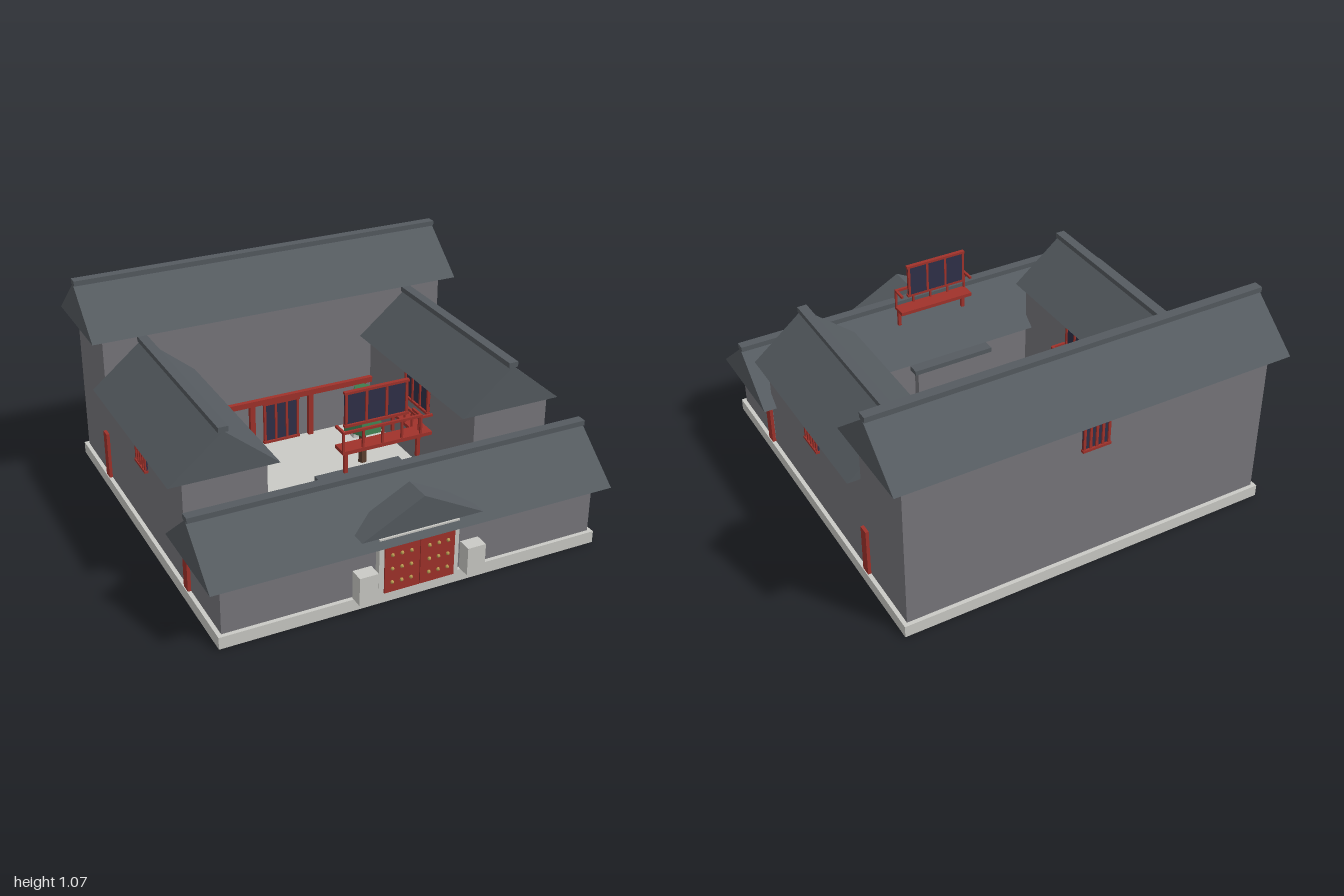
import * as THREE from 'three';

const mat = (name, color) => Object.assign(new THREE.MeshStandardMaterial({ color, flatShading: true }), { name });

export function createModel() {
  const root = new THREE.Group();
  const wall = mat('wall grey', 0x77767b), roof = mat('roof slate', 0x555b60);
  const stone = mat('pale stone', 0xcacac5), red = mat('painted red', 0xa0322b);
  const glass = mat('dark blue pane', 0x2f3048), gold = mat('brass', 0xb89a50);
  const green = mat('leaf green', 0x3f7d4f), brown = mat('trunk brown', 0x5c4030);

  // box given by its limits on each axis
  const box = (parent, name, m, x0, x1, y0, y1, z0, z1) => {
    const mesh = new THREE.Mesh(new THREE.BoxGeometry(x1 - x0, y1 - y0, z1 - z0), m);
    mesh.position.set((x0 + x1) / 2, (y0 + y1) / 2, (z0 + z1) / 2);
    mesh.name = name;
    parent.add(mesh);
    return mesh;
  };

  // triangular prism with its ridge along z
  const prism = (parent, name, half, height, length) => {
    const s = new THREE.Shape([new THREE.Vector2(-half, 0), new THREE.Vector2(half, 0), new THREE.Vector2(0, height)]);
    const g = new THREE.ExtrudeGeometry(s, { depth: length, bevelEnabled: false });
    g.translate(0, 0, -length / 2);
    const mesh = new THREE.Mesh(g, roof);
    mesh.name = name;
    parent.add(mesh);
    return mesh;
  };

  // gable roof with a ridge cap
  const gable = (name, x, y, z, length, turned) => {
    const g = new THREE.Group();
    g.name = name;
    prism(g, 'roofSlopes', 0.264, 0.218, length);
    box(g, 'ridgeCap', roof, -0.024, 0.024, 0.212, 0.238, -length / 2, length / 2);
    g.position.set(x, y, z);
    if (turned) g.rotation.y = Math.PI / 2;
    root.add(g);
  };

  // barred window facing +z, standing on its own origin
  const barredWindow = (name, w, h, bars) => {
    const g = new THREE.Group(), r = w / 2;
    g.name = name;
    box(g, 'pane', glass, -r, r, 0.005, h - 0.005, 0.001, 0.009);
    for (let i = 0; i < bars; i++) {
      const x = -r + 0.006 + (i / (bars - 1)) * (w - 0.012);
      box(g, 'bar', red, x - 0.006, x + 0.006, 0, h, 0, 0.016);
    }
    for (const y of [0, h - 0.012]) box(g, 'crossRail', red, -r - 0.004, r + 0.004, y, y + 0.012, 0, 0.02);
    return g;
  };

  // balcony with a window behind it; origin at the floor's back edge
  const balcony = (name, w) => {
    const g = new THREE.Group(), r = w / 2;
    g.name = name;
    box(g, 'balconyFloor', red, -r, r, 0, 0.018, 0, 0.08);
    box(g, 'frontRail', red, -r, r, 0.103, 0.115, 0.068, 0.08);
    for (const s of [-1, 1]) {
      const x = s * (r - 0.006), b = s * (r - 0.017);
      box(g, 'sideRail', red, x - 0.006, x + 0.006, 0.103, 0.115, 0, 0.08);
      box(g, 'bracket', red, b - 0.008, b + 0.008, -0.095, 0, 0.062, 0.078);
    }
    for (let i = 0; i < 5; i++) {
      const x = -r + 0.005 + (i / 4) * (w - 0.01);
      box(g, 'railPost', red, x - 0.005, x + 0.005, 0.015, 0.105, 0.069, 0.079);
    }
    const win = barredWindow('balconyWindow', w * 0.79, 0.175, 4);
    win.position.y = 0.1;
    g.add(win);
    return g;
  };

  const place = (g, x, y, z, turn = 0) => {
    g.position.set(x, y, z);
    g.rotation.y = turn;
    root.add(g);
  };

  // stone base and courtyard floor
  box(root, 'base', stone, -0.95, 0.95, 0, 0.06, -0.95, 0.945);

  // four wings around the court
  box(root, 'rearHall', wall, -0.93, 0.93, 0.06, 0.828, -0.93, -0.53);
  gable('rearRoof', 0, 0.828, -0.735, 1.99, true);
  box(root, 'frontHall', wall, -0.93, 0.93, 0.06, 0.308, 0.525, 0.925);
  gable('frontRoof', 0, 0.308, 0.722, 1.99, true);
  for (const s of [-1, 1]) {
    const a = s * 0.53, b = s * 0.93;
    box(root, 'sideHall', wall, Math.min(a, b), Math.max(a, b), 0.06, 0.567, -0.53, 0.52);
    gable('sideRoof', s * 0.73, 0.567, -0.005, 1.05, false);
    for (const z of [-0.555, 0.55])
      box(root, 'outerPost', red, s * 0.937 - 0.009, s * 0.937 + 0.009, 0.06, 0.306, z - 0.025, z + 0.025);
    place(barredWindow('sideWindow', 0.137, 0.14, 5), s * 0.929, 0.395, -0.003, s * Math.PI / 2);
    place(balcony('sideBalcony', 0.3), s * 0.53, 0.286, -0.01, -s * Math.PI / 2);
  }
  place(barredWindow('rearWindow', 0.137, 0.14, 5), 0, 0.655, -0.929, Math.PI);
  place(balcony('frontBalcony', 0.4), 0, 0.575, 0.522);

  // rear hall veranda: beam, posts and centre door
  box(root, 'verandaBeam', red, -0.53, 0.53, 0.295, 0.325, -0.53, -0.505);
  for (const x of [-0.48, -0.167, 0.167, 0.48])
    box(root, 'verandaPost', red, x - 0.014, x + 0.014, 0.06, 0.3, -0.53, -0.505);
  const rearDoor = barredWindow('rearDoor', 0.2, 0.235, 4);
  place(rearDoor, 0, 0.06, -0.531);

  // entrance gate with studded double doors and gablet
  box(root, 'gateFrame', stone, -0.2, 0.2, 0.06, 0.34, 0.92, 0.957);
  const stud = new THREE.SphereGeometry(0.009, 8, 6);
  for (const s of [-1, 1]) {
    const x0 = s * 0.002, x1 = s * 0.175;
    box(root, 'gateDoor', red, Math.min(x0, x1), Math.max(x0, x1), 0.06, 0.31, 0.955, 0.964);
    for (const x of [0.045, 0.092, 0.139]) for (const y of [0.112, 0.182, 0.252]) {
      const m = new THREE.Mesh(stud, gold);
      m.name = 'doorStud';
      m.position.set(s * x, y, 0.966);
      root.add(m);
    }
    box(root, 'gateStone', stone, s * 0.27 - 0.046, s * 0.27 + 0.046, 0.06, 0.2, 0.93, 1);
  }
  prism(root, 'gateGablet', 0.3, 0.158, 0.137).position.set(0, 0.367, 0.917);

  // screen wall inside the gate
  box(root, 'screenWall', wall, -0.2, 0.2, 0.06, 0.32, 0.36, 0.4);
  box(root, 'screenCap', roof, -0.22, 0.22, 0.32, 0.345, 0.35, 0.41);

  // plants: six-sided tapered crowns
  const crown = (name, x, z, rTop, rBottom, y0, y1, m = green) => {
    const mesh = new THREE.Mesh(new THREE.CylinderGeometry(rTop, rBottom, y1 - y0, 6), m);
    mesh.name = name;
    mesh.rotation.y = Math.PI / 6;
    mesh.position.set(x, (y0 + y1) / 2, z);
    root.add(mesh);
  };
  crown('treeTrunk', 0.28, -0.13, 0.018, 0.024, 0.06, 0.28, brown);
  crown('treeCrown', 0.28, -0.13, 0.052, 0.108, 0.26, 0.48);
  for (const [x, z] of [[-0.405, -0.415], [0.4, -0.415], [-0.405, 0.14]]) {
    box(root, 'planter', stone, x - 0.05, x + 0.05, 0.06, 0.11, z - 0.05, z + 0.05);
    crown('shrub', x, z, 0.022, 0.05, 0.11, 0.21);
  }
  return root;
}
